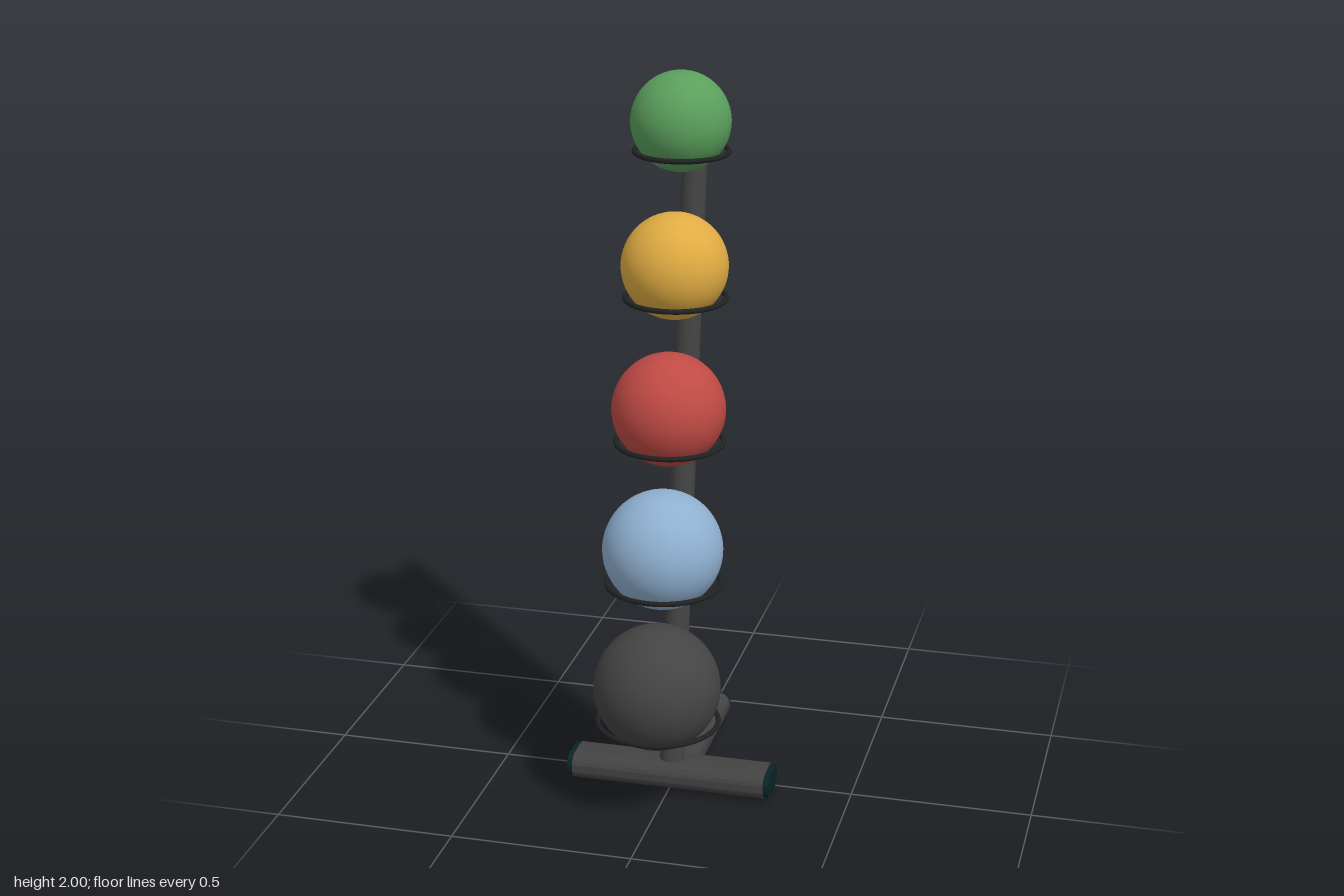
import * as THREE from 'three';
import { toCreasedNormals } from 'three/addons/utils/BufferGeometryUtils.js';

const mat = (name, color) => {
  const m = new THREE.MeshStandardMaterial({ color });
  m.name = name;
  return m;
};

// Flat tube with rounded sides, running along +z from z0 to z1, centred on y = 0
function flatTube(w, h, z0, z1) {
  const a = w / 2, b = h / 2, r = b * 0.94;
  const s = new THREE.Shape();
  s.moveTo(-a + r, -b);
  s.lineTo(a - r, -b);
  s.absarc(a - r, -b + r, r, -Math.PI / 2, 0);
  s.absarc(a - r, b - r, r, 0, Math.PI / 2);
  s.absarc(-a + r, b - r, r, Math.PI / 2, Math.PI);
  s.absarc(-a + r, -b + r, r, Math.PI, Math.PI * 1.5);
  const g = new THREE.ExtrudeGeometry(s, { depth: z1 - z0, bevelEnabled: false, curveSegments: 8 });
  g.translate(0, 0, z0);
  return toCreasedNormals(g, 0.7);
}

export function createModel() {
  const root = new THREE.Group();
  root.name = 'ballRack';
  const frame = mat('frameGrey', 0x434343);
  const cap = mat('capDark', 0x0b2426);
  const wire = mat('ringBlack', 0x202222);

  const add = (parent, name, geo, material, x = 0, y = 0, z = 0) => {
    const m = new THREE.Mesh(geo, material);
    m.name = name;
    m.position.set(x, y, z);
    parent.add(m);
    return m;
  };

  // T-shaped base: three legs with end caps and floor pads
  const hubZ = 0.059;
  const legs = [['leftLeg', Math.PI / 2, 0.288], ['rightLeg', -Math.PI / 2, 0.288], ['backLeg', Math.PI, 0.457]];
  for (const [name, turn, len] of legs) {
    const leg = new THREE.Group();
    leg.name = name;
    leg.position.z = hubZ;
    leg.rotation.y = turn;
    add(leg, 'legTube', flatTube(0.129, 0.073, 0, len - 0.015), frame, 0, 0.0435, 0);
    add(leg, 'legCap', flatTube(0.123, 0.067, len - 0.016, len), cap, 0, 0.0435, 0);
    add(leg, 'floorPad', new THREE.BoxGeometry(0.04, 0.008, 0.1), cap, 0, 0.004, len - 0.09);
    root.add(leg);
  }

  // Leaning pole, sheared so that its ends stay level
  const y0 = 0.04, y1 = 1.925, slope = -0.1495;
  const lean = new THREE.Matrix4().set(1, 0, 0, 0, 0, 1, 0, 0, 0, slope, 1, hubZ - slope * 0.05, 0, 0, 0, 1);
  const pole = new THREE.CylinderGeometry(0.034, 0.034, y1 - y0, 32);
  pole.translate(0, (y0 + y1) / 2, 0).applyMatrix4(lean);
  add(root, 'pole', pole, frame);
  const poleCap = new THREE.CylinderGeometry(0.032, 0.032, 0.006, 32);
  poleCap.translate(0, y1 + 0.003, 0).applyMatrix4(lean);
  add(root, 'poleCap', poleCap, cap);

  // Balls, each resting on a wire ring: colour name, colour, radius, y, z
  const balls = [
    ['charcoal', 0x444444, 0.172, 0.373, 0.221],
    ['blue', 0x8fb0d0, 0.162, 0.748, 0.156],
    ['red', 0xc04a44, 0.152, 1.122, 0.09],
    ['yellow', 0xe0ac42, 0.142, 1.497, 0.024],
    ['green', 0x5a9f5c, 0.132, 1.868, -0.042],
  ];
  balls.forEach(([name, color, r, y, z], i) => {
    add(root, name + 'Ball', new THREE.SphereGeometry(r, 48, 32), mat(name, color), 0, y, z);
    const ring = new THREE.TorusGeometry(r - 0.008, 0.007, 10, 56);
    ring.rotateX(Math.PI / 2);
    add(root, name + 'Ring', ring, wire, 0, 0.271 + i * 0.379, z - 0.01);
  });
  return root;
}
